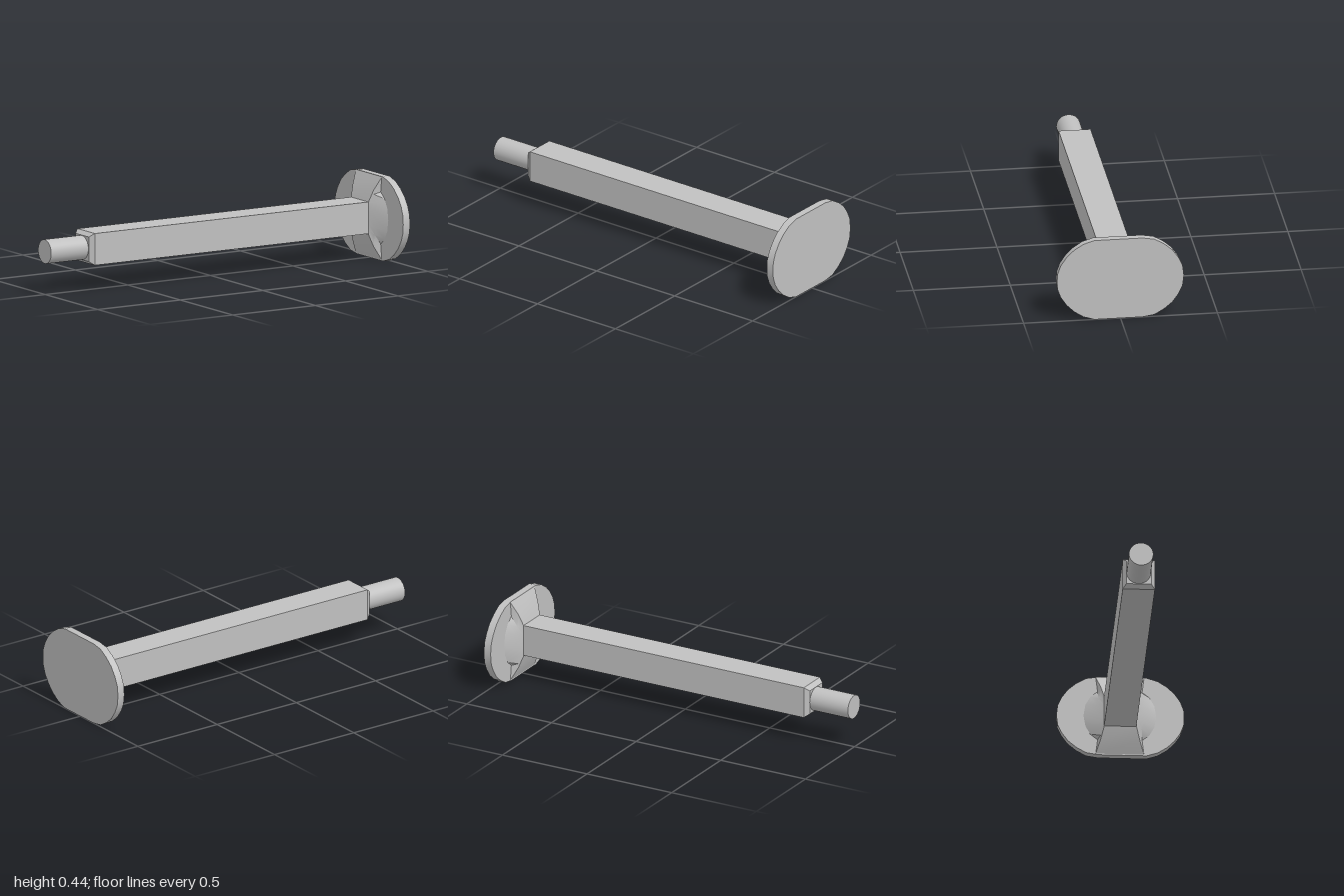
import * as THREE from 'three';
import { toCreasedNormals } from 'three/addons/utils/BufferGeometryUtils.js';

const CY = 0.22;

// Skins matching rings of [x, y, z] points, running -x to +x, y to z order
function loft(rings) {
  const pos = [];
  const n = rings[0].length;
  for (let r = 0; r < rings.length - 1; r++) {
    for (let i = 0; i < n; i++) {
      const j = (i + 1) % n;
      const [a, b, c, d] = [rings[r][i], rings[r][j], rings[r + 1][j], rings[r + 1][i]];
      pos.push(...a, ...b, ...c, ...a, ...c, ...d);
    }
  }
  const g = new THREE.BufferGeometry();
  g.setAttribute('position', new THREE.Float32BufferAttribute(pos, 3));
  return toCreasedNormals(g, 0.5);
}

// Mirrors a quarter section of [z, y] points into a full ring
function ring(x, quarter) {
  const flipY = ([z, y]) => [z, -y];
  const flipZ = ([z, y]) => [-z, y];
  const q2 = quarter.map(flipZ).reverse();
  const loop = [...quarter, ...q2, ...q2.map(flipY).reverse(), ...quarter.map(flipY).reverse()];
  return loop.map(([z, y]) => [x, y, z]).reverse();
}

export function createModel() {
  const group = new THREE.Group();
  const metal = new THREE.MeshStandardMaterial({ color: 0xc0c0c0 });
  metal.name = 'greyMetal';
  const add = (name, geometry, x, y, z) => {
    const mesh = new THREE.Mesh(geometry, metal);
    mesh.name = name;
    mesh.position.set(x, y, z);
    group.add(mesh);
    return mesh;
  };

  // Square shaft
  add('shaft', new THREE.BoxGeometry(1.66, 0.165, 0.165), 0.08, CY + 0.002, -0.003);

  // Chamfer from the shaft down to the pin
  const square = (h) => [[h, h]];
  add('shaftChamfer', loft([
    ring(-0.775, square(0)),
    ring(-0.775, square(0.064)),
    ring(-0.75, square(0.0825)),
  ]), 0, CY + 0.002, -0.003);

  // Round end pin
  const pin = new THREE.CylinderGeometry(0.0625, 0.0625, 0.25, 32);
  pin.rotateZ(Math.PI / 2);
  add('pin', pin, -0.875, CY + 0.002, -0.005);

  // Flared neck: rounded lobes at the sides, flat gussets above and below
  add('flaredNeck', loft([
    ring(0.905, [[0.0825, 0], [0.0825, 0.03], [0.0825, 0.06], [0.0825, 0.0825], [0.0825, 0.0825]]),
    ring(0.927, [[0.12, 0], [0.118, 0.045], [0.11, 0.085], [0.1, 0.125], [0.1, 0.148]]),
    ring(0.962, [[0.19, 0], [0.18, 0.06], [0.155, 0.105], [0.115, 0.137], [0.125, 0.218]]),
  ]), 0, CY, -0.002);

  // Oval head plate with flat top and bottom edges, points are [z, y]
  const upper = [
    [0.327, 0], [0.325, 0.042], [0.308, 0.088], [0.279, 0.131], [0.24, 0.17], [0.192, 0.201], [0.135, 0.219],
    [-0.113, 0.219], [-0.175, 0.209], [-0.225, 0.18], [-0.268, 0.144], [-0.3, 0.099], [-0.32, 0.056], [-0.327, 0],
  ];
  const lower = upper.slice(1, -1).reverse().map(([z, y]) => [z, -y]);
  const outline = [...upper, ...lower].map(([z, y]) => new THREE.Vector2(-z, y));
  const plate = new THREE.ExtrudeGeometry(new THREE.Shape(outline), { depth: 0.04, bevelEnabled: false });
  plate.rotateY(Math.PI / 2);
  add('headPlate', toCreasedNormals(plate, 0.6), 0.96, CY - 0.001, 0);

  return group;
}
